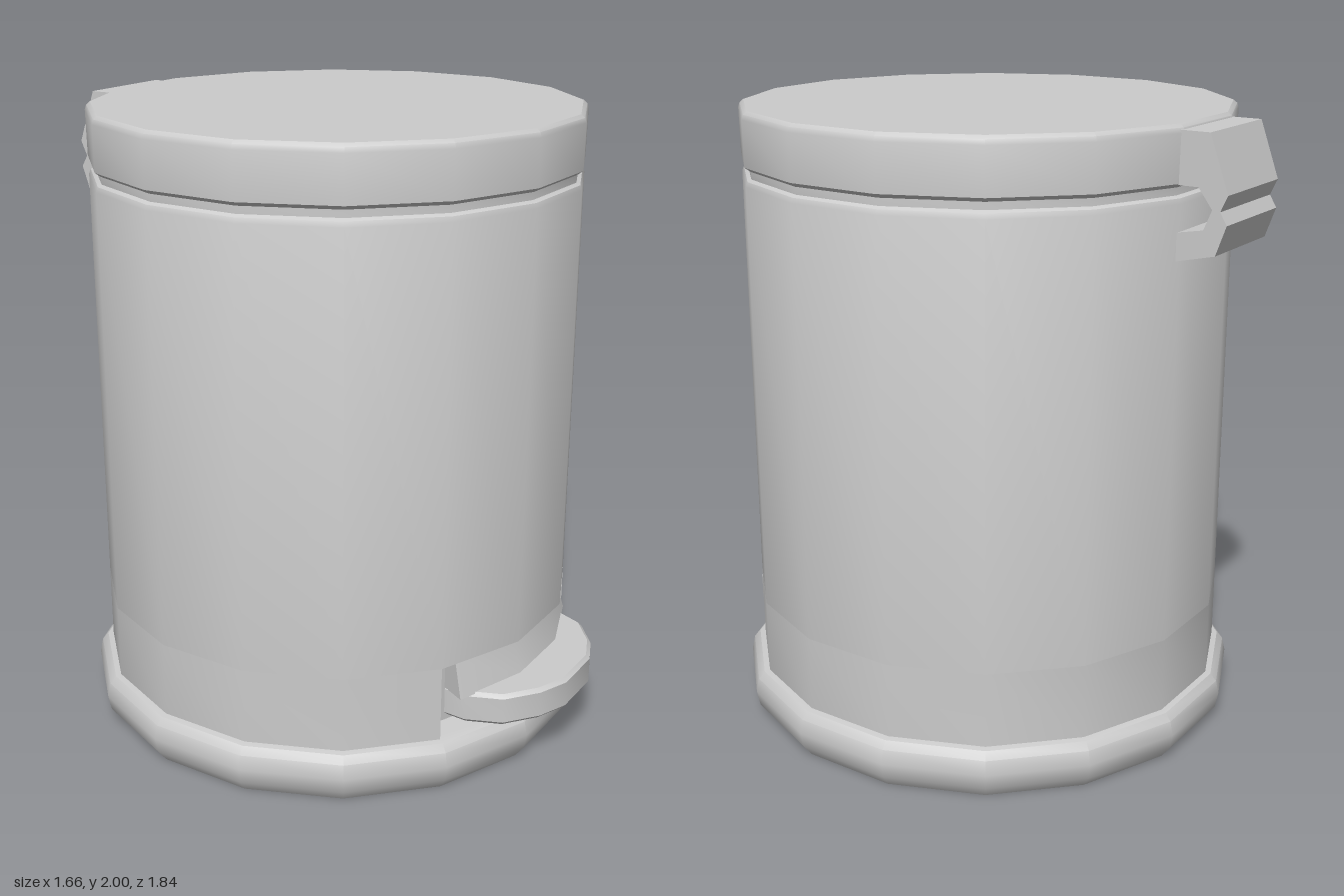
import * as THREE from 'three';
import { toCreasedNormals } from 'three/addons/utils/BufferGeometryUtils.js';

const material = new THREE.MeshStandardMaterial({ color: 0xcccccc });
const thin = new THREE.MeshStandardMaterial({ color: 0xcccccc, side: THREE.DoubleSide });
const STEP = Math.PI / 8;      // the bin has 16 sides
const AXIS = STEP / 2;         // pedal and hinge sit on the middle of one side
const HALF = STEP * 1.5;       // the recess is three sides wide

const vectors = (points) => points.map(([x, y]) => new THREE.Vector2(x, y));

function addMesh(parent, name, geometry, mat = material) {
  const mesh = new THREE.Mesh(geometry, mat);
  mesh.name = name;
  parent.add(mesh);
  return mesh;
}

// Revolve a [radius, height] profile, keeping its corners sharp
function turn(points, sides = 16, start = 0, length = Math.PI * 2) {
  return toCreasedNormals(new THREE.LatheGeometry(vectors(points), sides, start, length), 0.6);
}

// Flat upright plate given as [radius, height] points, standing at an angle
function radialPlate(parent, name, points, angle) {
  const plate = addMesh(parent, name, new THREE.ShapeGeometry(new THREE.Shape(vectors(points))), thin);
  plate.rotation.y = angle - Math.PI / 2;
}

export function createModel() {
  const model = new THREE.Group();
  model.name = 'pedalBin';
  const bin = new THREE.Group();
  bin.name = 'bin';
  bin.position.z = 0.01;
  model.add(bin);

  // Rounded foot ring with closed top and bottom
  addMesh(bin, 'base', turn([
    [0, 0], [0.79, 0], [0.82, 0.04], [0.83, 0.09], [0.82, 0.135], [0.8, 0.158], [0.77, 0.165], [0, 0.165],
  ]));

  // Body: a full drum above, and a drum with the recess left open below
  addMesh(bin, 'body', turn([
    [0.782, 0.405], [0.782, 1.775], [0.776, 1.79], [0.764, 1.797], [0.764, 1.825],
  ]));
  addMesh(bin, 'lowerBody', turn([[0.782, 0.16], [0.782, 0.405]], 13, AXIS + HALF, Math.PI * 2 - 2 * HALF));

  // Lid
  addMesh(bin, 'lid', turn([
    [0, 1.82], [0.765, 1.82], [0.783, 1.833], [0.785, 1.975], [0.78, 1.99], [0.768, 2], [0, 2],
  ]));

  // Recess: back wall and ceiling, then the two side walls
  addMesh(bin, 'recess', turn([[0.7, 0.165], [0.7, 0.405], [0.782, 0.405]], 3, AXIS - HALF, 2 * HALF), thin);
  for (const side of [-1, 1]) {
    radialPlate(bin, 'recessSide', [[0.7, 0.165], [0.782, 0.165], [0.782, 0.405], [0.7, 0.405]], AXIS + side * HALF);
  }

  // Sloping panel behind the pedal
  const slope = [[0.69, 0.28], [0.78, 0.28], [0.745, 0.4], [0.69, 0.4]];
  const spread = 0.5;
  addMesh(bin, 'pedalPanel', turn(slope, 3, AXIS - spread, 2 * spread), thin);
  for (const side of [-1, 1]) radialPlate(bin, 'pedalPanelEnd', slope, AXIS + side * spread);

  // Pedal: rounded outline, mirrored about its own axis
  const half = [[0.33, 0.6], [0.335, 0.68], [0.29, 0.79], [0.19, 0.868], [0.09, 0.908]];
  const outline = [...half, ...half.map(([u, r]) => [-u, r]).reverse()];
  const pedalGeometry = new THREE.ExtrudeGeometry(new THREE.Shape(vectors(outline)), {
    depth: 0.081, bevelThickness: 0.012, bevelSize: 0.012, bevelOffset: -0.012, bevelSegments: 1,
  });
  pedalGeometry.rotateX(Math.PI / 2);
  const pedal = addMesh(bin, 'pedal', toCreasedNormals(pedalGeometry, 0.6));
  pedal.position.y = 0.273;
  pedal.rotation.y = AXIS;

  // Hinge: C-shaped bracket with a notch between its two leaves
  const bracket = [
    [0.74, 1.985], [0.855, 1.985], [0.917, 1.815], [0.895, 1.767], [0.917, 1.73],
    [0.885, 1.64], [0.74, 1.605], [0.74, 1.69], [0.845, 1.71], [0.87, 1.77], [0.825, 1.83], [0.74, 1.83],
  ];
  const width = 0.33;
  const hingeGeometry = new THREE.ExtrudeGeometry(new THREE.Shape(vectors(bracket)), {
    depth: width, bevelEnabled: false,
  });
  hingeGeometry.translate(0, 0, -width / 2);
  const hinge = addMesh(bin, 'hinge', hingeGeometry);
  hinge.rotation.y = AXIS + Math.PI / 2;

  return model;
}
